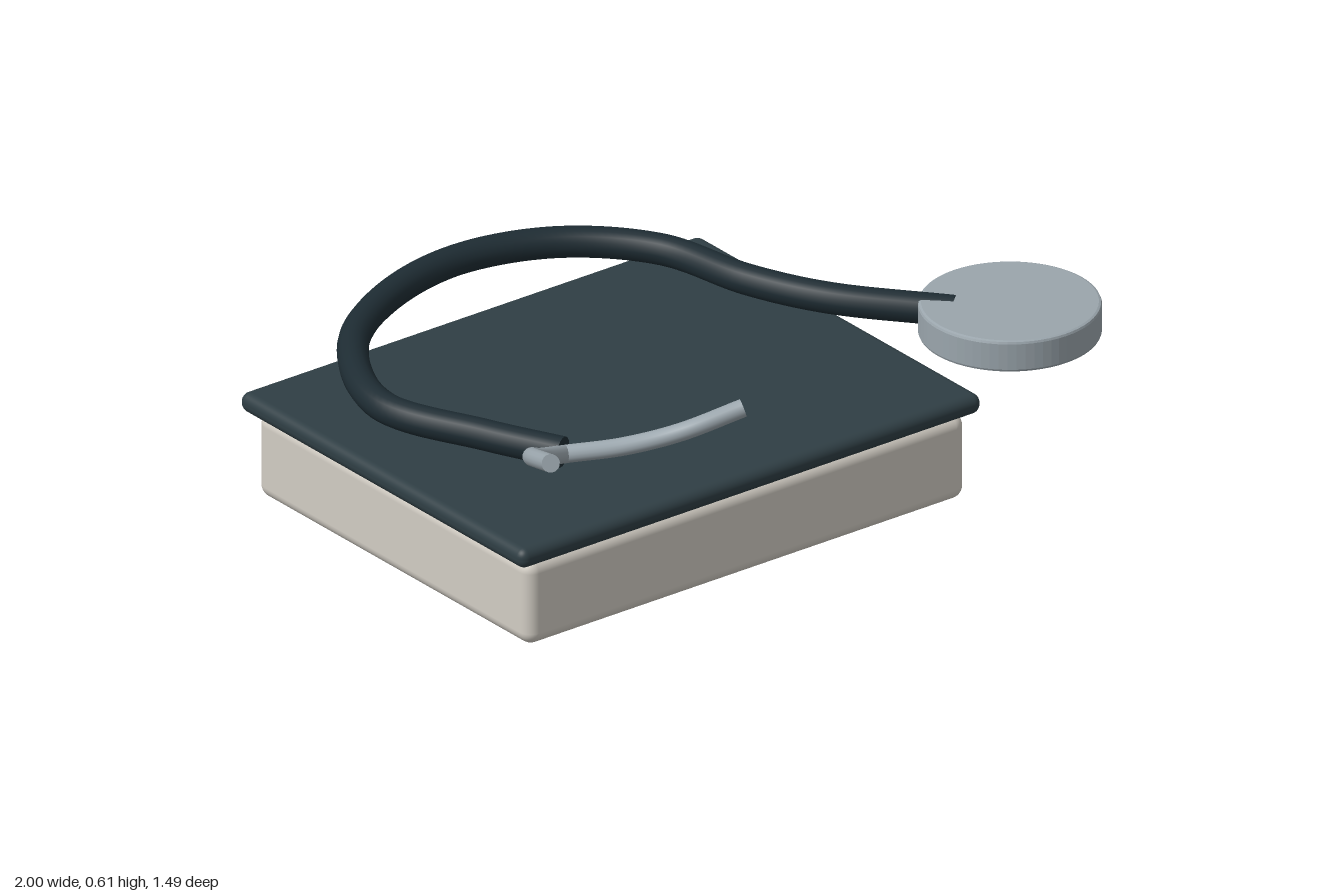
import * as THREE from 'three';
import { RoundedBoxGeometry } from 'three/addons/geometries/RoundedBoxGeometry.js';

const mat = (color, roughness = 0.6) => new THREE.MeshStandardMaterial({ color, roughness });
const cream = mat(0xd2cdc4);
const slate = mat(0x2f3e44);
const rubber = mat(0x1e2c33);
const metal = mat(0x9aa5ac);

function add(parent, name, geometry, material, x = 0, y = 0, z = 0) {
  const mesh = new THREE.Mesh(geometry, material);
  mesh.name = name;
  mesh.position.set(x, y, z);
  parent.add(mesh);
  return mesh;
}

// Smooth hose through the points, closed by a disc at each end
function hose(parent, name, points, radius, material, segments) {
  const group = new THREE.Group();
  group.name = name;
  parent.add(group);
  const curve = new THREE.CatmullRomCurve3(points.map((p) => new THREE.Vector3(...p)));
  add(group, name + 'Body', new THREE.TubeGeometry(curve, segments, radius, 16), material);
  for (const t of [0, 1]) {
    const p = curve.getPointAt(t);
    const outward = curve.getTangentAt(t).multiplyScalar(t ? 1 : -1);
    const cap = add(group, name + 'Cap', new THREE.CircleGeometry(radius, 16), material, p.x, p.y, p.z);
    cap.quaternion.setFromUnitVectors(new THREE.Vector3(0, 0, 1), outward);
  }
}

export function createModel() {
  const model = new THREE.Group();
  model.name = 'stethoscopeOnCase';

  // Case and overhanging lid
  add(model, 'caseBody', new RoundedBoxGeometry(1.42, 0.24, 1.13, 4, 0.035), cream, -0.238, 0.122, -0.025);
  add(model, 'caseLid', new RoundedBoxGeometry(1.49, 0.055, 1.18, 4, 0.025), slate, -0.24, 0.269, -0.027);

  // Main rubber hose looping over the lid to the chest piece
  hose(model, 'mainHose', [
    [-0.65, 0.38, 0.3], [-0.75, 0.385, 0.11], [-0.864, 0.392, -0.17], [-0.72, 0.4, -0.48],
    [-0.48, 0.402, -0.645], [-0.2, 0.4, -0.708], [0.07, 0.393, -0.64], [0.26, 0.385, -0.46],
    [0.335, 0.378, -0.2], [0.44, 0.372, 0.0], [0.66, 0.362, 0.243],
  ], 0.041, rubber, 128);

  // Two ear tubes splaying up from the junction
  hose(model, 'rightEarTube', [
    [-0.645, 0.375, 0.305], [-0.8, 0.45, 0.4], [-0.905, 0.522, 0.5], [-0.978, 0.592, 0.672],
  ], 0.024, metal, 40);
  hose(model, 'leftEarTube', [
    [-0.645, 0.375, 0.305], [-0.612, 0.475, 0.525], [-0.535, 0.54, 0.65], [-0.392, 0.59, 0.718],
  ], 0.024, metal, 40);

  // Chest piece: disc with a small bevel on each rim
  const disc = new THREE.Shape().absarc(0, 0, 0.227, 0, Math.PI * 2);
  const discGeometry = new THREE.ExtrudeGeometry(disc, {
    depth: 0.072, bevelThickness: 0.008, bevelSize: 0.008, bevelSegments: 2, curveSegments: 32,
  });
  discGeometry.rotateX(-Math.PI / 2);
  add(model, 'chestPiece', discGeometry, metal, 0.762, 0.318, 0.343);

  return model;
}
